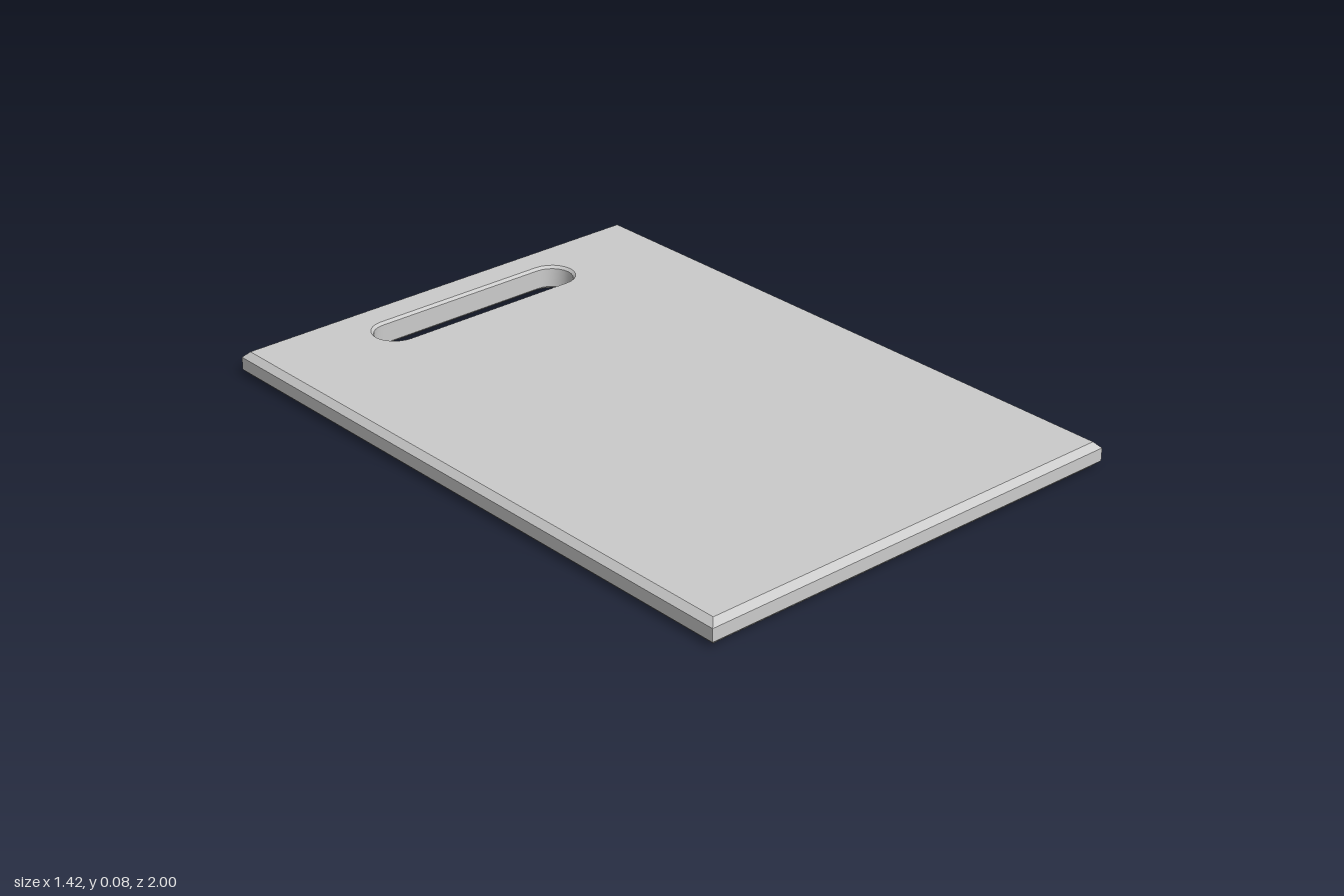
import * as THREE from 'three';
import { toCreasedNormals } from 'three/addons/utils/BufferGeometryUtils.js';

const HALF_W = 0.71, HALF_L = 1, THICK = 0.075;
const EDGE = 0.018; // chamfer of the outer rim
const LIP = 0.008; // chamfer of the handle slot

// Outline of the board, drawn in by inset (counter-clockwise, back is +y)
function boardLoop(inset) {
  const w = HALF_W - inset, l = HALF_L - inset;
  return [[-w, -l], [w, -l], [w, l], [-w, l]].map(([x, y]) => new THREE.Vector2(x, y));
}

// Outline of the round-ended handle slot (counter-clockwise)
function slotLoop(radius) {
  const points = [], steps = 12;
  for (const side of [1, -1]) {
    for (let i = 0; i <= steps; i++) {
      const a = (i / steps - 0.5) * Math.PI;
      points.push(new THREE.Vector2(
        side * (0.292 + radius * Math.cos(a)), 0.822 + side * radius * Math.sin(a)));
    }
  }
  return points;
}

function boardGeometry() {
  const positions = [];
  const add = (p, z) => positions.push(p.x, p.y, z);

  // Joins a stack of matching loops with quads
  const band = (levels) => {
    for (let k = 0; k + 1 < levels.length; k++) {
      const [a, za] = levels[k], [b, zb] = levels[k + 1];
      a.forEach((p, i) => {
        const j = (i + 1) % a.length;
        add(p, za); add(a[j], za); add(b[j], zb);
        add(p, za); add(b[j], zb); add(b[i], zb);
      });
    }
  };

  const rim = boardLoop(0), face = boardLoop(EDGE);
  const slot = slotLoop(0.066), mouth = slotLoop(0.066 + LIP);

  // Outer edge from bottom to top, slot wall from top to bottom so it faces inwards
  band([[face, 0], [rim, EDGE], [rim, THICK - EDGE], [face, THICK]]);
  band([[mouth, THICK], [slot, THICK - LIP], [slot, LIP], [mouth, 0]]);

  // Top and bottom faces, pierced by the slot
  const hole = mouth.slice().reverse();
  const corners = [...face, ...hole];
  for (const [a, b, c] of THREE.ShapeUtils.triangulateShape(face, [hole])) {
    for (const i of [a, b, c]) add(corners[i], THICK);
    for (const i of [c, b, a]) add(corners[i], 0);
  }

  const geometry = new THREE.BufferGeometry();
  geometry.setAttribute('position', new THREE.Float32BufferAttribute(positions, 3));
  geometry.rotateX(-Math.PI / 2);
  return toCreasedNormals(geometry, 0.6);
}

export function createModel() {
  const group = new THREE.Group();
  group.name = 'cuttingBoard';
  const board = new THREE.Mesh(
    boardGeometry(), new THREE.MeshStandardMaterial({ color: 0xcccccc }));
  board.name = 'boardWithHandleSlot';
  group.add(board);
  return group;
}
